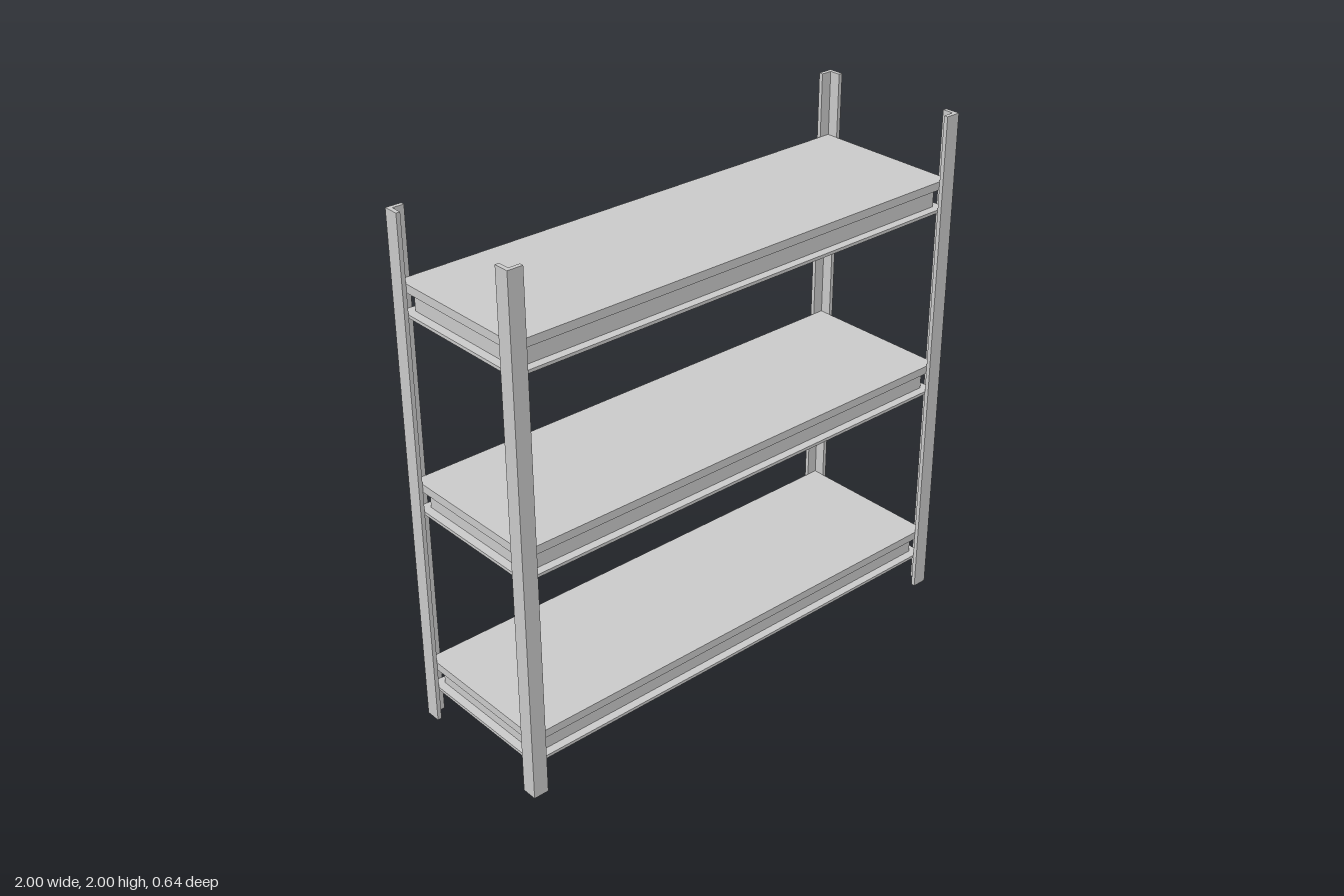
import * as THREE from 'three';

const W = 1, D = 0.318, H = 2;          // half width, half depth, height
const LEG = 0.06, T = 0.016;            // angle-post leg length and thickness
const SHELF_TOPS = [0.25, 1.0, 1.75];

export function createModel() {
  const model = new THREE.Group();
  model.name = 'shelvingUnit';
  const material = new THREE.MeshStandardMaterial({ color: 0xcccccc, flatShading: true });

  const add = (parent, name, geometry, x, y, z) => {
    const mesh = new THREE.Mesh(geometry, material);
    mesh.name = name;
    mesh.position.set(x, y, z);
    parent.add(mesh);
  };

  // L-section corner posts, open towards the inside
  for (const sx of [-1, 1]) {
    for (const sz of [-1, 1]) {
      const points = [[W, D], [W - LEG, D], [W - LEG, D - T], [W - T, D - T], [W - T, D - LEG], [W, D - LEG]]
        .map(([x, z]) => new THREE.Vector2(sx * x, -sz * z));
      const post = new THREE.ExtrudeGeometry(new THREE.Shape(points), { depth: H, bevelEnabled: false });
      post.rotateX(-Math.PI / 2);
      add(model, `${sz > 0 ? 'front' : 'back'}${sx > 0 ? 'Left' : 'Right'}Post`, post, 0, 0, 0);
    }
  }

  // Shelves: deck on top, recessed web, thin bottom flange
  const w = 2 * (W - T - 0.001), d = 2 * (D - T), recess = 0.033;
  SHELF_TOPS.forEach((top, i) => {
    const shelf = new THREE.Group();
    shelf.name = `shelf${i + 1}`;
    shelf.position.y = top;
    add(shelf, 'deck', new THREE.BoxGeometry(w, 0.032, d), 0, -0.016, 0);
    add(shelf, 'web', new THREE.BoxGeometry(w - 2 * recess, 0.078, d - 2 * recess), 0, -0.071, 0);
    add(shelf, 'bottomFlange', new THREE.BoxGeometry(w, 0.012, d), 0, -0.116, 0);
    model.add(shelf);
  });

  return model;
}
